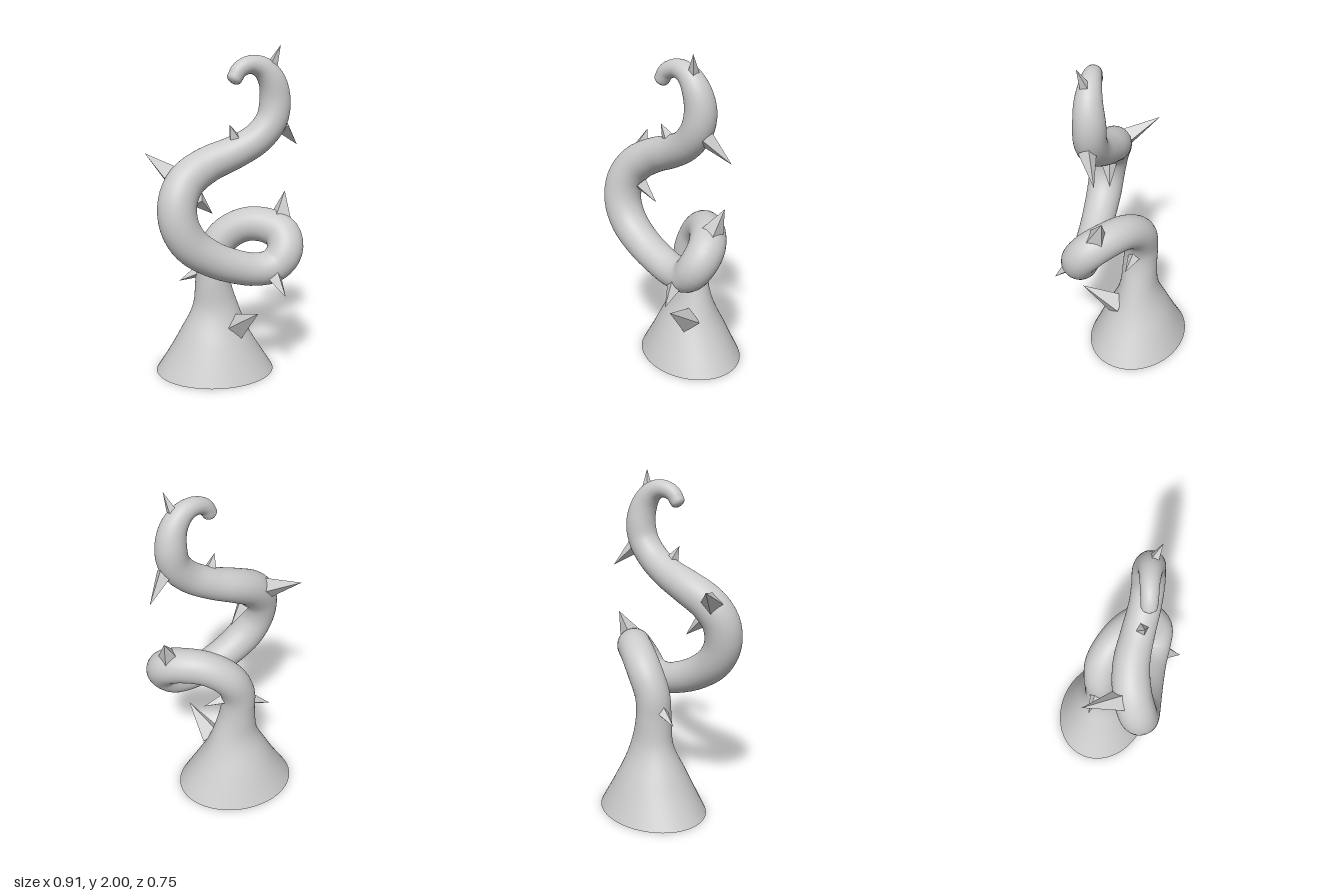
import * as THREE from 'three';

const material = new THREE.MeshStandardMaterial({ color: 0xcccccc });
const thornMaterial = new THREE.MeshStandardMaterial({ color: 0xcccccc, flatShading: true });

const SIDES = 48;

// Centre line of the vine: x, y, z, radius across, radius in depth
const PATH = [
  [-0.048, 0, -0.077, 0.365, 0.298],
  [-0.048, 0.2, -0.078, 0.243, 0.211],
  [-0.045, 0.4, -0.079, 0.147, 0.122],
  [-0.06, 0.58, -0.078, 0.107, 0.106],
  [-0.058, 0.72, -0.085, 0.103, 0.103],
  [0.005, 0.85, -0.096, 0.103, 0.103],
  [0.13, 0.932, -0.066, 0.102, 0.102],
  [0.255, 0.94, -0.01, 0.104, 0.104],
  [0.34, 0.9, 0.058, 0.107, 0.107],
  [0.345, 0.818, 0.12, 0.105, 0.105],
  [0.28, 0.742, 0.144, 0.1, 0.1],
  [0.17, 0.726, 0.166, 0.096, 0.096],
  [0.05, 0.754, 0.192, 0.098, 0.098],
  [-0.09, 0.815, 0.225, 0.102, 0.102],
  [-0.215, 0.91, 0.252, 0.108, 0.108],
  [-0.279, 1.03, 0.26, 0.11, 0.11],
  [-0.284, 1.16, 0.237, 0.11, 0.11],
  [-0.23, 1.265, 0.188, 0.108, 0.108],
  [-0.106, 1.345, 0.132, 0.102, 0.102],
  [0.045, 1.405, 0.106, 0.094, 0.094],
  [0.18, 1.48, 0.09, 0.09, 0.09],
  [0.263, 1.58, 0.072, 0.09, 0.09],
  [0.283, 1.69, 0.063, 0.088, 0.088],
  [0.262, 1.8, 0.077, 0.077, 0.077],
  [0.205, 1.873, 0.096, 0.062, 0.062],
  [0.135, 1.895, 0.12, 0.051, 0.051],
  [0.07, 1.87, 0.146, 0.046, 0.046],
  [0.04, 1.825, 0.158, 0.043, 0.043],
];

// Sweep an oval ring along the centre line, ending in a rounded tip
function vineGeometry(steps = 108) {
  const curve = new THREE.CatmullRomCurve3(PATH.map(p => new THREE.Vector3(p[0], p[1], p[2])));
  const radii = new THREE.CatmullRomCurve3(
    PATH.map(p => new THREE.Vector3(p[3], p[4], 0)), false, 'catmullrom', 0.5);
  const positions = [], indices = [];
  const normal = new THREE.Vector3(1, 0, 0), binormal = new THREE.Vector3();
  const tangent = new THREE.Vector3(), centre = new THREE.Vector3(), v = new THREE.Vector3();
  let rows = 0;
  const ring = (r1, r2) => {
    for (let j = 0; j <= SIDES; j++) {
      const a = (j % SIDES) / SIDES * Math.PI * 2;
      v.copy(centre).addScaledVector(normal, r1 * Math.cos(a)).addScaledVector(binormal, r2 * Math.sin(a));
      positions.push(v.x, v.y, v.z);
    }
    rows++;
  };
  for (let i = 0; i <= steps; i++) {
    const t = i / steps, r = radii.getPoint(t);
    curve.getPoint(t, centre);
    if (i === 0) tangent.set(0, 1, 0);
    else curve.getTangent(t, tangent);
    normal.addScaledVector(tangent, -normal.dot(tangent)).normalize();
    binormal.crossVectors(tangent, normal);
    ring(r.x, r.y);
  }
  const end = centre.clone(), tipRadius = PATH[PATH.length - 1][3];
  for (let k = 1; k <= 6; k++) {
    const a = k / 6 * Math.PI / 2;
    centre.copy(end).addScaledVector(tangent, tipRadius * 0.7 * Math.sin(a));
    const r = Math.max(tipRadius * Math.cos(a), 0.0005);
    ring(r, r);
  }
  for (let i = 0; i < rows - 1; i++) {
    for (let j = 0; j < SIDES; j++) {
      const a = i * (SIDES + 1) + j, b = a + SIDES + 1;
      indices.push(a, a + 1, b, a + 1, b + 1, b);
    }
  }
  const geometry = new THREE.BufferGeometry();
  geometry.setAttribute('position', new THREE.Float32BufferAttribute(positions, 3));
  geometry.setIndex(indices);
  geometry.computeVertexNormals();
  // Match the normals along the seam
  const n = geometry.attributes.normal;
  for (let i = 0; i < rows; i++) {
    const a = i * (SIDES + 1), b = a + SIDES;
    v.set(n.getX(a) + n.getX(b), n.getY(a) + n.getY(b), n.getZ(a) + n.getZ(b)).normalize();
    n.setXYZ(a, v.x, v.y, v.z);
    n.setXYZ(b, v.x, v.y, v.z);
  }
  return geometry;
}

// Four-sided thorn from a base point to a tip, with two of its edges level
function thorn(name, base, tip, radius) {
  const from = new THREE.Vector3(...base);
  const axis = new THREE.Vector3(...tip).sub(from), length = axis.length();
  axis.normalize();
  const side = new THREE.Vector3(axis.z, 0, -axis.x).normalize();
  const geometry = new THREE.ConeGeometry(radius, length, 4).translate(0, length / 2, 0);
  const mesh = new THREE.Mesh(geometry, thornMaterial);
  mesh.name = name;
  mesh.position.copy(from);
  mesh.quaternion.setFromRotationMatrix(
    new THREE.Matrix4().makeBasis(side, axis, side.clone().cross(axis)));
  return mesh;
}

export function createModel() {
  const group = new THREE.Group();
  group.name = 'thornyVine';

  const vine = new THREE.Mesh(vineGeometry(), material);
  vine.name = 'vine';
  group.add(vine);

  // Flat underside
  const underside = new THREE.Mesh(new THREE.CircleGeometry(1, SIDES).rotateX(Math.PI / 2), material);
  underside.name = 'underside';
  underside.scale.set(PATH[0][3], 1, PATH[0][4]);
  underside.position.set(PATH[0][0], 0, PATH[0][2]);
  group.add(underside);

  // Thorns, from the foot to the tip
  const thorns = new THREE.Group();
  thorns.name = 'thorns';
  [
    ['footThorn', [0.077, 0.308, 0.015], [0.18, 0.46, 0.2], 0.08],
    ['stalkRightThorn', [-0.14, 0.645, -0.078], [-0.265, 0.585, -0.08], 0.04],
    ['stalkLeftThorn', [0.03, 0.685, -0.08], [0.155, 0.655, -0.08], 0.04],
    ['loopTopThorn', [0.335, 0.995, 0.012], [0.37, 1.14, -0.045], 0.066],
    ['loopBottomThorn', [0.265, 0.7, 0.21], [0.32, 0.6, 0.31], 0.052],
    ['bendInnerThorn', [-0.17, 1.16, 0.19], [-0.08, 1.06, 0.14], 0.045],
    ['bendOuterThorn', [-0.305, 1.285, 0.15], [-0.455, 1.39, -0.01], 0.065],
    ['upperThorn', [0.055, 1.465, 0.12], [0.015, 1.57, 0.155], 0.05],
    ['neckThorn', [0.325, 1.55, 0.055], [0.435, 1.42, -0.04], 0.05],
    ['crownThorn', [0.262, 1.895, 0.095], [0.3, 2, 0.12], 0.03],
  ].forEach(t => thorns.add(thorn(...t)));
  group.add(thorns);
  return group;
}
